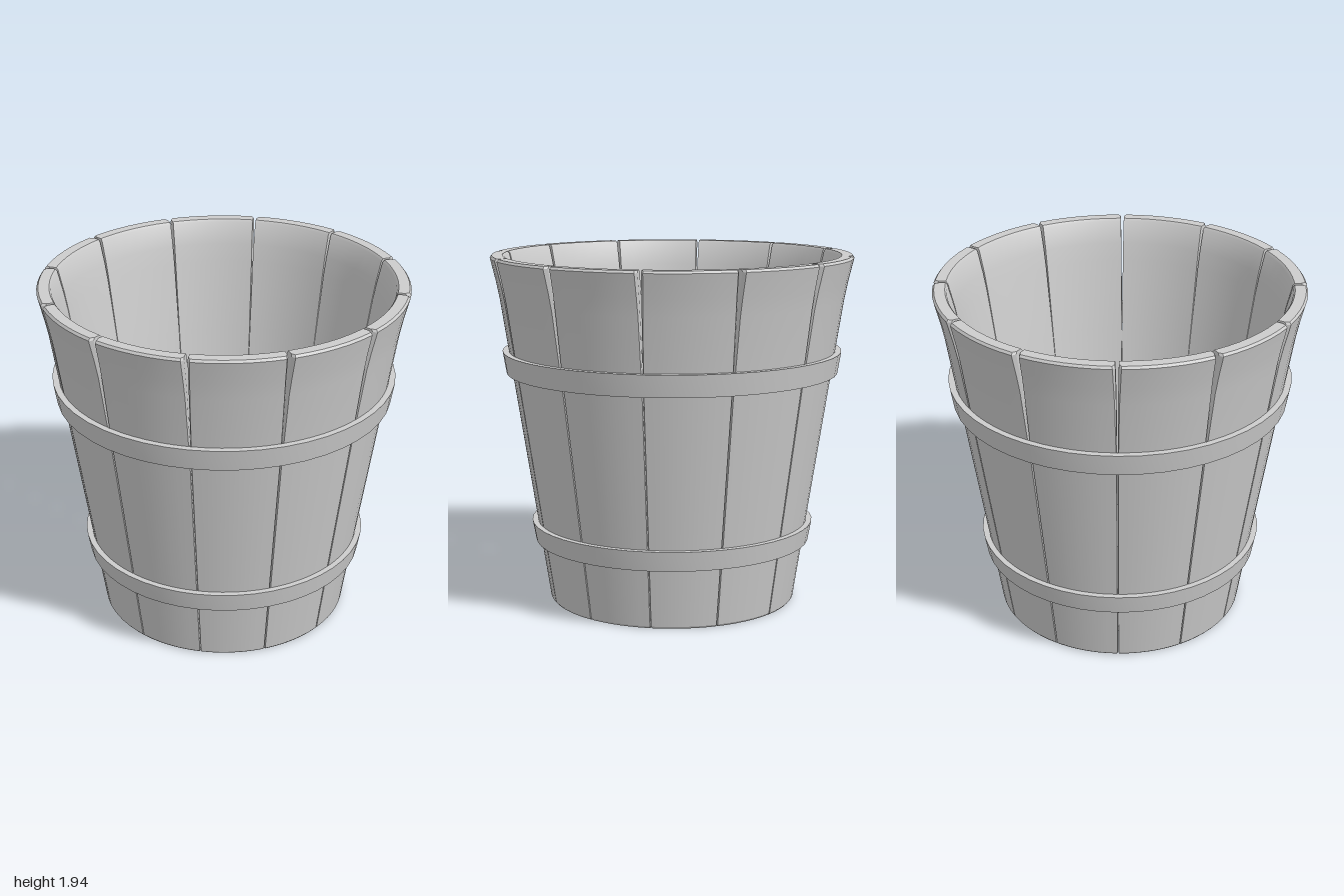
import * as THREE from 'three';
import { toCreasedNormals } from 'three/addons/utils/BufferGeometryUtils.js';

const STAVES = 12;
const ARC = 6; // segments across a stave's face
const rad = THREE.MathUtils.degToRad;

// One stave: [height, outer radius, inner radius, half angle in degrees, corner bevel]
const STAVE_ROWS = [
  [0, 0.68, 0.62, 14.7, 0.006],
  [0.012, 0.69, 0.61, 14.9, 0.006],
  [1.3, 0.888, 0.81, 14.9, 0.006],
  [1.7, 0.95, 0.873, 14.75, 0.014],
  [1.8, 0.97, 0.892, 14.65, 0.018],
  [1.925, 1.0, 0.922, 14.5, 0.022],
  [1.938, 0.99, 0.932, 14.4, 0.022],
];

// Closed section: outer arc left to right, then inner arc back
function staveSection([y, outer, inner, deg, bevel]) {
  const half = rad(deg);
  const out = [], back = [];
  const add = (list, r, a) => list.push([r * Math.sin(a), y, r * Math.cos(a)]);
  const faceHalf = half - bevel * 0.6;
  add(out, outer - bevel, -half);
  add(back, inner, -half);
  for (let i = 0; i <= ARC; i++) {
    const a = faceHalf * (2 * i / ARC - 1);
    add(out, outer, a);
    add(back, inner, a);
  }
  add(out, outer - bevel, half);
  add(back, inner, half);
  return [...out, ...back.reverse()];
}

function staveGeometry() {
  const sections = STAVE_ROWS.map(staveSection);
  const n = sections[0].length;
  const index = [];
  const quad = (a, b, c, d) => index.push(a, b, c, a, c, d);
  // Sides
  for (let s = 0; s < sections.length - 1; s++) {
    for (let i = 0; i < n; i++) {
      const j = (i + 1) % n;
      quad(s * n + i, s * n + j, (s + 1) * n + j, (s + 1) * n + i);
    }
  }
  // End caps
  const top = (sections.length - 1) * n;
  for (let i = 0; i < n / 2 - 1; i++) {
    quad(top + i, top + i + 1, top + n - 2 - i, top + n - 1 - i);
    quad(n - 1 - i, n - 2 - i, i + 1, i);
  }
  const geometry = new THREE.BufferGeometry();
  geometry.setAttribute('position', new THREE.Float32BufferAttribute(sections.flat(2), 3));
  geometry.setIndex(index);
  return toCreasedNormals(geometry, rad(25));
}

// Sloping hoop between two heights, given its outer radii
function hoopGeometry(y0, r0, y1, r1) {
  const t = 0.035;
  const profile = [[r0 - t, y0], [r0, y0], [r1, y1], [r1 - t, y1], [r0 - t, y0]];
  const lathe = new THREE.LatheGeometry(profile.map(([x, y]) => new THREE.Vector2(x, y)), 48);
  return toCreasedNormals(lathe, rad(30));
}

export function createModel() {
  const group = new THREE.Group();
  group.name = 'bucket';
  const material = new THREE.MeshStandardMaterial({ color: 0xcccccc });
  material.name = 'light grey';

  const add = (name, geometry) => {
    const mesh = new THREE.Mesh(geometry, material);
    mesh.name = name;
    group.add(mesh);
    return mesh;
  };

  // Ring of staves
  const stave = staveGeometry();
  for (let i = 0; i < STAVES; i++) {
    add('stave' + (i + 1), stave).rotation.y = i * 2 * Math.PI / STAVES;
  }

  // Two hoops
  add('lowerHoop', hoopGeometry(0.34, 0.77, 0.45, 0.79));
  add('upperHoop', hoopGeometry(1.29, 0.92, 1.41, 0.94));

  // Recessed floor
  add('floor', new THREE.CylinderGeometry(0.65, 0.65, 0.03, 48)).position.y = 0.15;

  return group;
}
